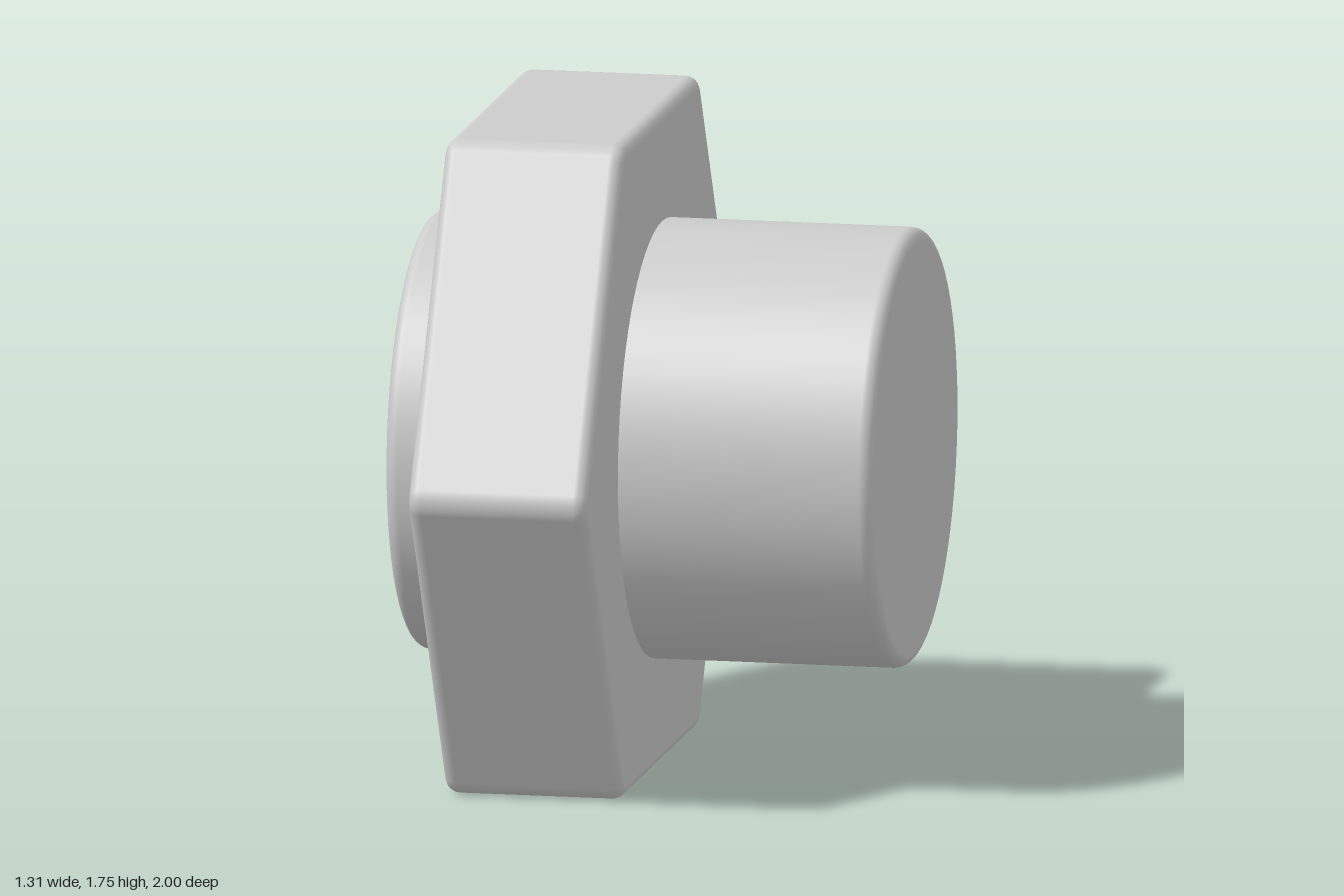
import * as THREE from 'three';

const AXIS_Y = 0.876;
const BEVEL_STEPS = 5;

// Outline points: an arc centre (z, y) and the outward angle around it
function roundOutline(sides) {
  return Array.from({ length: sides }, (_, i) => ({ z: 0, y: 0, a: (i / sides) * Math.PI * 2 }));
}

function hexOutline(apothem, r, steps = 5) {
  const points = [];
  const reach = (apothem - r) / Math.cos(Math.PI / 6);
  for (let c = 0; c < 6; c++) {
    const mid = (c * Math.PI) / 3;
    for (let s = 0; s <= steps; s++) {
      points.push({
        z: reach * Math.cos(mid),
        y: reach * Math.sin(mid),
        a: mid + (s / steps - 0.5) * (Math.PI / 3),
      });
    }
  }
  return points;
}

// Solid along x with flat ends and rounded rims, lofted through rings
function roundedPrism(outline, r, x0, x1, bevel) {
  const rings = [{ x: x0, r: 0, t: -Math.PI / 2, centre: true }];
  for (const side of [-1, 1]) {
    for (let s = 0; s <= BEVEL_STEPS; s++) {
      const k = s / BEVEL_STEPS;
      const t = (side < 0 ? k - 1 : k) * Math.PI / 2;
      const x = (side < 0 ? x0 + bevel : x1 - bevel) + bevel * Math.sin(t);
      rings.push({ x, r: r - bevel + bevel * Math.cos(t), t });
    }
  }
  rings.push({ x: x1, r: 0, t: Math.PI / 2, centre: true });

  const positions = [], normals = [], index = [];
  const n = outline.length;
  rings.forEach((ring, j) => {
    outline.forEach((p, i) => {
      const cy = Math.sin(p.a), cz = Math.cos(p.a);
      if (ring.centre) positions.push(ring.x, 0, 0);
      else positions.push(ring.x, p.y + ring.r * cy, p.z + ring.r * cz);
      normals.push(Math.sin(ring.t), Math.cos(ring.t) * cy, Math.cos(ring.t) * cz);
      if (j === rings.length - 1) return;
      const a = j * n + i, b = j * n + ((i + 1) % n);
      if (j < rings.length - 2) index.push(a, a + n, b + n);
      if (j > 0) index.push(a, b + n, b);
    });
  });

  const geometry = new THREE.BufferGeometry();
  geometry.setAttribute('position', new THREE.Float32BufferAttribute(positions, 3));
  geometry.setAttribute('normal', new THREE.Float32BufferAttribute(normals, 3));
  geometry.setIndex(index);
  return geometry;
}

export function createModel() {
  const group = new THREE.Group();
  group.name = 'hexPlug';
  const material = new THREE.MeshStandardMaterial({ color: 0xcccccc });

  const add = (name, geometry) => {
    const mesh = new THREE.Mesh(geometry, material);
    mesh.name = name;
    mesh.position.y = AXIS_Y;
    group.add(mesh);
  };

  // Round shaft running right through the collar
  add('shaft', roundedPrism(roundOutline(64), 0.58, -0.655, 0.652, 0.035));
  // Six-sided collar with softened edges
  add('hexCollar', roundedPrism(hexOutline(0.876, 0.07), 0.07, -0.508, -0.028, 0.035));

  return group;
}
